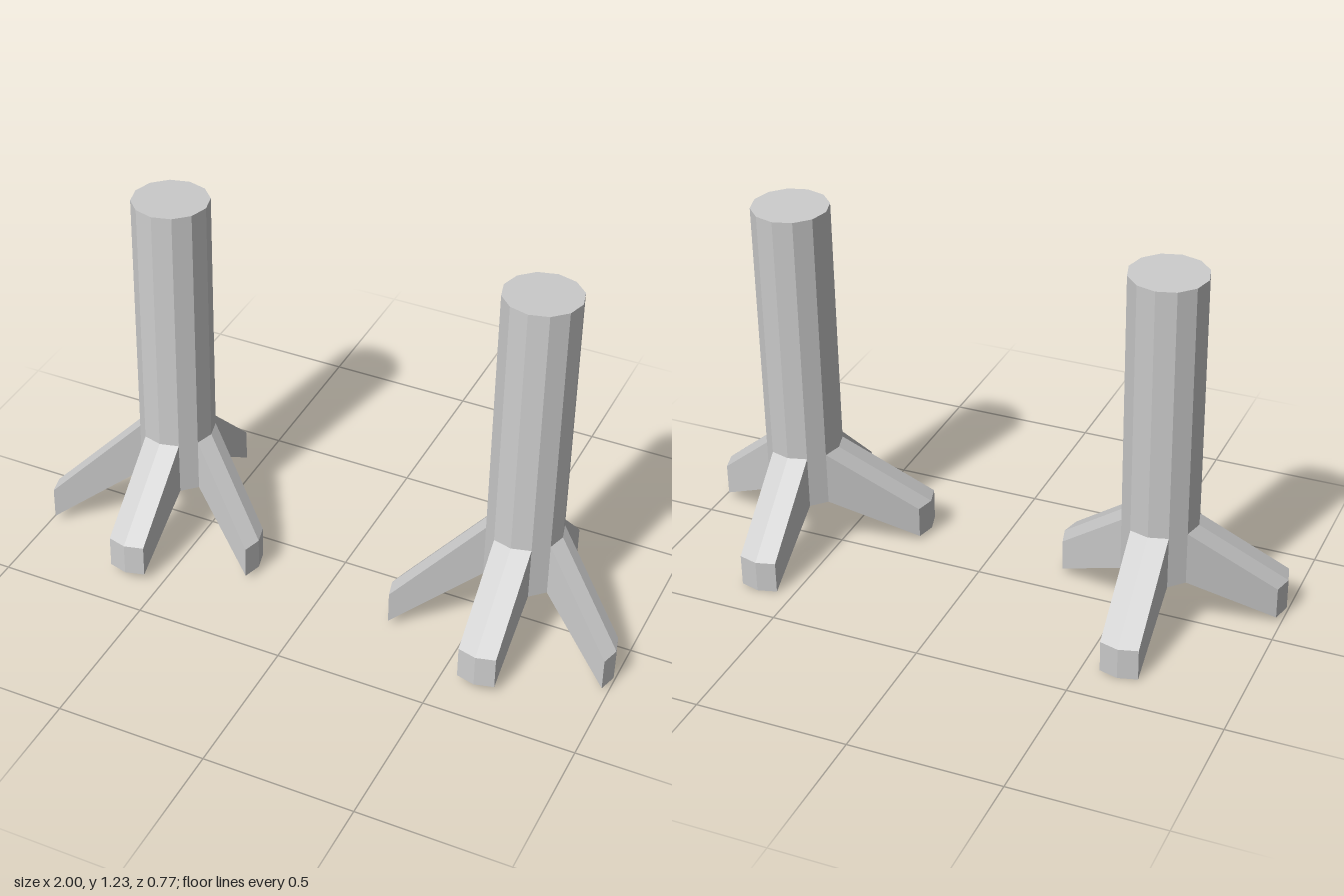
import * as THREE from 'three';

const RADIUS = 0.125, BOTTOM = 0.173, TOP = 1.21, SIDES = 12;
const TOE_ROOT_TOP = 0.355, TOE_TIP_TOP = 0.108;

const material = new THREE.MeshStandardMaterial({ color: 0xcccccc, flatShading: true });

// A toe grows from two neighbouring shank facets and slides out to its tip.
function toeGeometry(angle, tipX, tipZ) {
  const step = (2 * Math.PI) / SIDES;
  const shiftX = tipX - RADIUS * Math.sin(angle);
  const shiftZ = tipZ - RADIUS * Math.cos(angle);
  const section = (top, bottom, dx, dz) =>
    [[-1, top], [0, top], [1, top], [1, bottom], [0, bottom], [-1, bottom]].map(([k, y]) => [
      RADIUS * Math.sin(angle + k * step) + dx, y, RADIUS * Math.cos(angle + k * step) + dz]);
  const points = [
    ...section(TOE_ROOT_TOP, BOTTOM, 0, 0),
    ...section(TOE_TIP_TOP, 0, shiftX, shiftZ),
  ];
  const index = [];
  const quad = (a, b, c, d) => index.push(a, b, c, a, c, d);
  for (let i = 0; i < 6; i++) {
    const j = (i + 1) % 6;
    quad(i, i + 6, j + 6, j);
  }
  // Two facets close the tip
  quad(6, 11, 10, 7);
  quad(7, 10, 9, 8);

  const indexed = new THREE.BufferGeometry();
  indexed.setAttribute('position', new THREE.Float32BufferAttribute(points.flat(), 3));
  indexed.setIndex(index);
  const geometry = indexed.toNonIndexed();
  geometry.computeVertexNormals();
  return geometry;
}

function addMesh(parent, name, geometry) {
  const mesh = new THREE.Mesh(geometry, material);
  mesh.name = name;
  parent.add(mesh);
  return mesh;
}

function createLeg(name) {
  const leg = new THREE.Group();
  leg.name = name;

  // Shank
  const shank = addMesh(leg, 'shank',
    new THREE.CylinderGeometry(RADIUS, RADIUS, TOP - BOTTOM, SIDES));
  shank.position.y = (TOP + BOTTOM) / 2;

  // Toes: front, back, and two sides swept forward
  addMesh(leg, 'frontToe', toeGeometry(0, 0, 0.38));
  addMesh(leg, 'backToe', toeGeometry(Math.PI, 0, -0.385));
  addMesh(leg, 'leftToe', toeGeometry(Math.PI / 2, 0.38, 0.158));
  addMesh(leg, 'rightToe', toeGeometry(-Math.PI / 2, -0.38, 0.158));
  return leg;
}

export function createModel() {
  const model = new THREE.Group();
  model.name = 'birdLegs';
  for (const [name, side] of [['leftLeg', 1], ['rightLeg', -1]]) {
    const leg = createLeg(name);
    // Each leg leans slightly backward
    leg.position.set(side * 0.62, 0.014, 0.004);
    leg.rotation.x = -0.036;
    model.add(leg);
  }
  return model;
}
